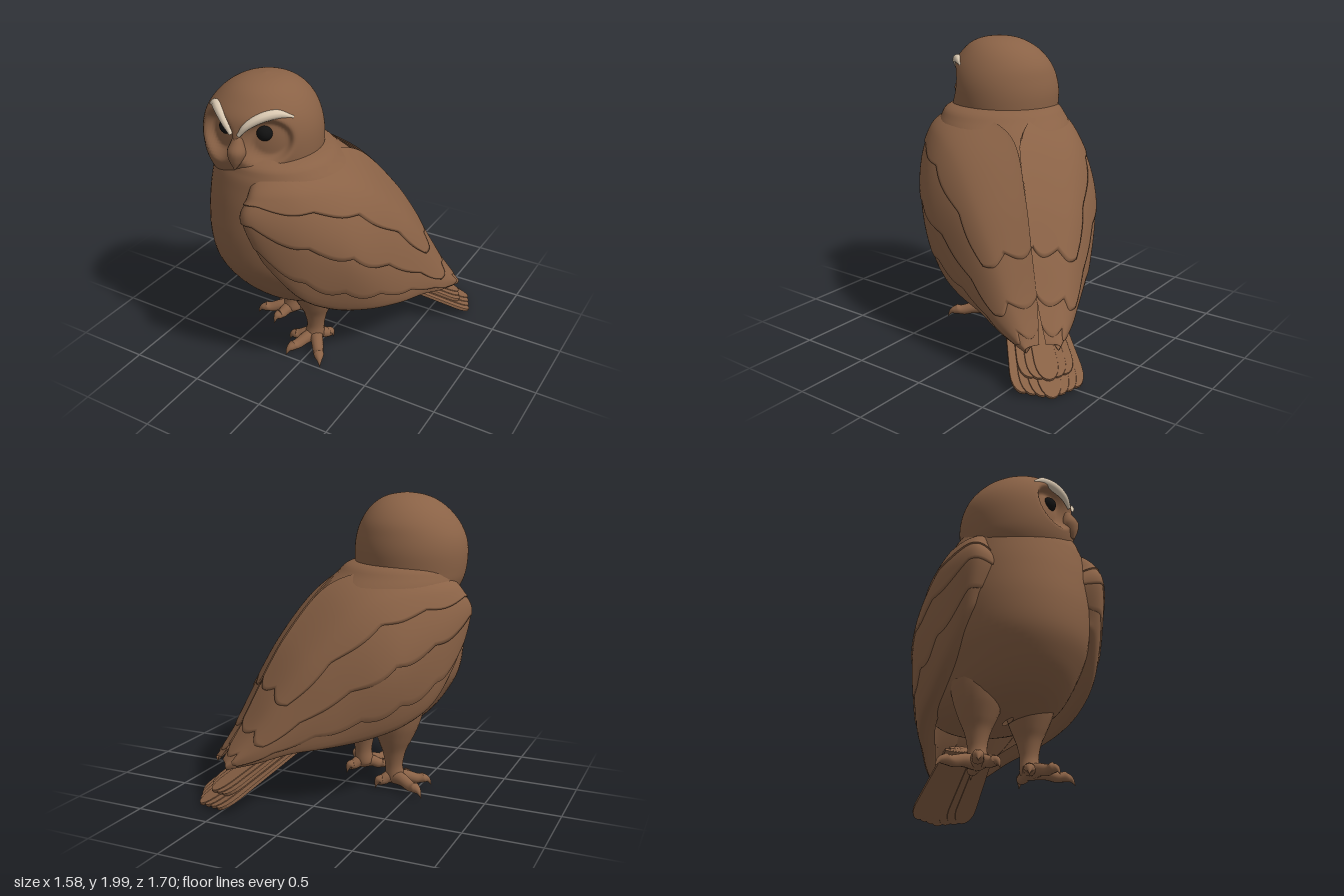
import * as THREE from 'three';

const brown = new THREE.MeshStandardMaterial({ color: 0x8a6246, side: THREE.DoubleSide });
brown.name = 'brownPlumage';
const cream = new THREE.MeshStandardMaterial({ color: 0xdac9b2 });
cream.name = 'creamBrow';
const black = new THREE.MeshStandardMaterial({ color: 0x121212 });
black.name = 'blackEye';

// Smooth interpolation through rows of numbers, t from 0 to 1
function sample(rows, t) {
  const n = rows.length - 1;
  const i = Math.min(Math.floor(t * n), n - 1), f = t * n - i;
  const at = (k) => rows[Math.max(0, Math.min(n, k))];
  const [a, b, c, d] = [at(i - 1), at(i), at(i + 1), at(i + 2)];
  return b.map((_, k) => {
    const m0 = (c[k] - a[k]) / 2, m1 = (d[k] - b[k]) / 2, e = c[k] - b[k];
    return b[k] + f * (m0 + f * (3 * e - 2 * m0 - m1 + f * (m0 + m1 - 2 * e)));
  });
}

// Surface from a rule fn(u, v) -> [x, y, z]; closed joins u = 1 to u = 0
function grid(fn, nu, nv, closed = false) {
  const cols = closed ? nu : nu + 1, pos = [], index = [];
  for (let j = 0; j <= nv; j++)
    for (let i = 0; i < cols; i++) pos.push(...fn(i / nu, j / nv));
  for (let j = 0; j < nv; j++)
    for (let i = 0; i < nu; i++) {
      const a = j * cols + i, b = j * cols + (i + 1) % cols;
      index.push(a, b, b + cols, a, b + cols, a + cols);
    }
  const g = new THREE.BufferGeometry();
  g.setAttribute('position', new THREE.Float32BufferAttribute(pos, 3));
  g.setIndex(index);
  g.computeVertexNormals();
  return g;
}

// Tapered round tube along points, with a radius for each point
function taperTube(points, radii, sides = 14, steps = 24) {
  const curve = new THREE.CatmullRomCurve3(points.map((p) => new THREE.Vector3(...p)));
  const fr = curve.computeFrenetFrames(steps);
  return grid((u, v) => {
    const k = Math.round(v * steps), r = sample(radii.map((x) => [x]), v)[0], a = u * Math.PI * 2;
    return curve.getPoint(v)
      .addScaledVector(fr.normals[k], r * Math.cos(a))
      .addScaledVector(fr.binormals[k], r * Math.sin(a)).toArray();
  }, sides, steps, true);
}

function add(parent, name, geometry, material) {
  const m = new THREE.Mesh(geometry, material);
  m.name = name;
  parent.add(m);
  return m;
}

// Torso rings: height, front z, back z, half width
const TORSO = [
  [0.39, 0.3, 0.15, 0.02], [0.42, 0.42, -0.05, 0.22], [0.47, 0.55, -0.34, 0.33], [0.54, 0.65, -0.55, 0.41],
  [0.65, 0.75, -0.59, 0.46], [0.8, 0.83, -0.5, 0.5], [1.0, 0.855, -0.39, 0.51], [1.2, 0.84, -0.25, 0.495],
  [1.35, 0.815, -0.14, 0.47], [1.46, 0.785, -0.02, 0.435], [1.54, 0.73, 0.09, 0.35], [1.6, 0.45, 0.4, 0.02],
];

// Head rings: height, centre x, centre z, half width, half depth
const HEAD = [
  [1.28, -0.34, 0.3, 0.27, 0.27], [1.4, -0.34, 0.31, 0.35, 0.34], [1.5, -0.34, 0.325, 0.378, 0.365],
  [1.62, -0.34, 0.33, 0.385, 0.375], [1.72, -0.335, 0.335, 0.37, 0.365], [1.81, -0.325, 0.34, 0.33, 0.34],
  [1.89, -0.315, 0.34, 0.27, 0.28], [1.95, -0.305, 0.345, 0.195, 0.205], [1.985, -0.3, 0.345, 0.11, 0.115],
  [2.0, -0.3, 0.345, 0.002, 0.002],
];
const FACE_X = -0.3;

function headFrontZ(x, y) {
  let t = 0;
  while (t < 1 && sample(HEAD, t)[0] < y) t += 0.005;
  const [, cx, cz, rx, rz] = sample(HEAD, t);
  return cz + rz * Math.sqrt(Math.max(0, 1 - ((x - cx) / rx) ** 2));
}

// Hollow of the two facial discs
function faceDent(x, y) {
  const d = Math.hypot((Math.abs(x - FACE_X) - 0.155) / 0.155, (y - 1.67) / 0.165);
  return 0.085 * (1 - THREE.MathUtils.smoothstep(d, 0.55, 1.02));
}

function buildHead(model) {
  const head = new THREE.Group();
  head.name = 'head';
  model.add(head);
  add(head, 'skull', grid((u, v) => {
    const [y, cx, cz, rx, rz] = sample(HEAD, v), a = u * Math.PI * 2;
    const x = cx + rx * Math.sin(a), z = cz + rz * Math.cos(a);
    return [x, y, Math.cos(a) > 0 ? z - faceDent(x, y) : z];
  }, 128, 80, true), brown);

  for (const side of [-1, 1]) {
    const ex = FACE_X + side * 0.128;
    const eye = add(head, 'eye', new THREE.SphereGeometry(0.05, 24, 16), black);
    eye.position.set(ex, 1.71, headFrontZ(ex, 1.71) - 0.1);
    const brow = [[0.025, 1.715], [0.07, 1.775], [0.14, 1.825], [0.21, 1.84], [0.275, 1.812]].map(([dx, y]) => {
      const x = FACE_X + side * dx;
      return [x, y, headFrontZ(x, y) - 0.005];
    });
    add(head, 'brow', taperTube(brow, [0.012, 0.023, 0.03, 0.028, 0.008], 10), cream);
  }
  // Hooked beak
  add(head, 'beak', taperTube(
    [[FACE_X, 1.74, 0.65], [FACE_X, 1.66, 0.67], [FACE_X, 1.6, 0.685], [FACE_X, 1.545, 0.698], [FACE_X, 1.49, 0.712]],
    [0.015, 0.04, 0.058, 0.038, 0.002]), brown);
}

// Wing lines from shoulder to tip: x, y, z
const WING_TOP = [[0.28, 1.33, 0.62], [0.34, 1.42, 0.62], [0.34, 1.48, 0.41], [0.18, 1.49, 0.14], [0.02, 1.38, -0.13],
  [0, 1.08, -0.4], [0, 0.78, -0.585], [0, 0.52, -0.73], [0.02, 0.3, -0.88]];
const WING_SIDE = [[0.29, 1.19, 0.7], [0.43, 1.22, 0.71], [0.55, 1.1, 0.46], [0.59, 1.0, 0.2], [0.57, 0.9, 0],
  [0.46, 0.75, -0.25], [0.34, 0.57, -0.49], [0.24, 0.42, -0.68], [0.11, 0.28, -0.89]];
const WING_LOW = [[0.34, 0.99, 0.64], [0.43, 0.92, 0.62], [0.51, 0.68, 0.42], [0.52, 0.55, 0.2], [0.5, 0.48, -0.05],
  [0.43, 0.43, -0.3], [0.32, 0.38, -0.52], [0.22, 0.31, -0.71], [0.1, 0.25, -0.88]];

function wingPoint(t, v) {
  const [top, mid, low] = [WING_TOP, WING_SIDE, WING_LOW].map((line) => sample(line, t));
  const mix = THREE.MathUtils.lerp;
  const round = [mix(top[0], mid[0], 0.67), mix(top[1], mid[1], 0.3), mix(top[2], mid[2], 0.36)];
  const tuck = [low[0] * 0.72, low[1] + 0.04, low[2]];
  return new THREE.Vector3(...sample([top, round, mid, low, tuck], v));
}

// One overlapping layer of wing feathers with a scalloped edge
function wingLayer(side, vEnd, tEnd, lift, scallops) {
  const nt = 72, nv = 30;
  return grid((u, v) => {
    const s = side > 0 ? 1 - u : u;
    const tip = vEnd < 1 ? tEnd * (0.97 + 0.03 * Math.abs(Math.sin(v * Math.PI * 2))) : 1;
    const t = Math.min(1, s * nt / (nt - 1)) * tip;
    const wave = vEnd < 1 ? 0.022 * Math.abs(Math.sin(s * Math.PI * scallops)) : 0;
    const w = Math.min(1, v * nv / (nv - 1)) * (vEnd + wave);
    const p = wingPoint(t, w), e = 0.01;
    const t0 = Math.max(0, t - e), t1 = Math.min(1, t + e), w0 = Math.max(0, w - e), w1 = Math.min(1, w + e);
    const normal = wingPoint(t, w1).sub(wingPoint(t, w0)).cross(wingPoint(t1, w).sub(wingPoint(t0, w))).normalize();
    p.addScaledVector(normal, v === 1 || s === 1 ? -0.004 : lift);
    return [side * Math.max(p.x, -0.01), p.y, p.z];
  }, nt, nv);
}

function buildTail(body) {
  const shape = new THREE.Shape();
  shape.moveTo(-0.05, 0);
  shape.lineTo(-0.068, 0.58);
  shape.bezierCurveTo(-0.068, 0.78, 0.068, 0.78, 0.068, 0.58);
  shape.lineTo(0.05, 0);
  const geo = new THREE.ExtrudeGeometry(shape, {
    depth: 0.012, bevelEnabled: true, bevelSize: 0.006, bevelThickness: 0.006, bevelSegments: 2, curveSegments: 10,
  });
  const tail = new THREE.Group();
  tail.name = 'tail';
  tail.position.set(-0.02, 0.365, -0.39);
  tail.rotation.x = -2.095;
  body.add(tail);
  // Long feathers below, shorter coverts above
  for (const [count, length, lift] of [[3, 1, 0], [2, 0.85, 0.03]])
    for (let i = -count; i <= count; i++) {
      const f = add(tail, 'tailFeather', geo, brown);
      f.position.set(i * 0.04, 0, lift + 0.007 * (count - Math.abs(i)));
      f.rotation.z = -i * 0.022;
      f.scale.y = length * (1 - 0.03 * Math.abs(i));
    }
}

function buildLeg(body, side) {
  const leg = new THREE.Group();
  leg.name = side > 0 ? 'leftLeg' : 'rightLeg';
  leg.position.set(-0.035 + side * 0.186, 0, 0.235 - side * 0.03);
  body.add(leg);
  add(leg, 'shank', taperTube(
    [[0, 0.58, 0.02], [0, 0.46, 0.01], [0, 0.36, 0], [0, 0.27, 0], [0, 0.17, 0], [0, 0.08, 0.01], [0, 0.05, 0.01]],
    [0.18, 0.155, 0.118, 0.08, 0.06, 0.066, 0.03], 20, 30), brown);
  // Three front toes and one hind toe, each ending in a curved claw
  for (const [deg, len] of [[-25, 0.18], [20, 0.25], [78, 0.28], [185, 0.13]]) {
    const a = side * THREE.MathUtils.degToRad(deg), dx = Math.sin(a), dz = Math.cos(a);
    const path = [[0, 0.085], [0.35, 0.085], [0.65, 0.065], [0.82, 0.07], [0.95, 0.055], [1.04, 0.015]]
      .map(([d, y]) => [dx * len * d, y, dz * len * d]);
    add(leg, 'toe', taperTube(path, [0.05, 0.042, 0.036, 0.034, 0.018, 0.002], 12), brown);
  }
}

export function createModel() {
  const model = new THREE.Group();
  model.name = 'owl';
  buildHead(model);

  // The body is turned aside while the face looks forward
  const body = new THREE.Group();
  body.name = 'body';
  body.rotation.y = THREE.MathUtils.degToRad(-42);
  model.add(body);
  add(body, 'torso', grid((u, v) => {
    const [y, front, back, half] = sample(TORSO, v), a = u * Math.PI * 2;
    return [half * Math.sin(a), y, (front + back) / 2 + (front - back) / 2 * Math.cos(a)];
  }, 64, 60, true), brown);

  for (const side of [-1, 1]) {
    const wing = new THREE.Group();
    wing.name = side > 0 ? 'leftWing' : 'rightWing';
    wing.position.x = 0.01;
    body.add(wing);
    add(wing, 'flightFeathers', wingLayer(side, 1, 1, 0, 0), brown);
    add(wing, 'lowerCoverts', wingLayer(side, 0.64, 0.97, 0.008, 7), brown);
    add(wing, 'middleCoverts', wingLayer(side, 0.5, 0.89, 0.016, 6), brown);
    add(wing, 'shoulderFeathers', wingLayer(side, 0.33, 0.76, 0.024, 5), brown);
    buildLeg(body, side);
  }
  buildTail(body);
  return model;
}
